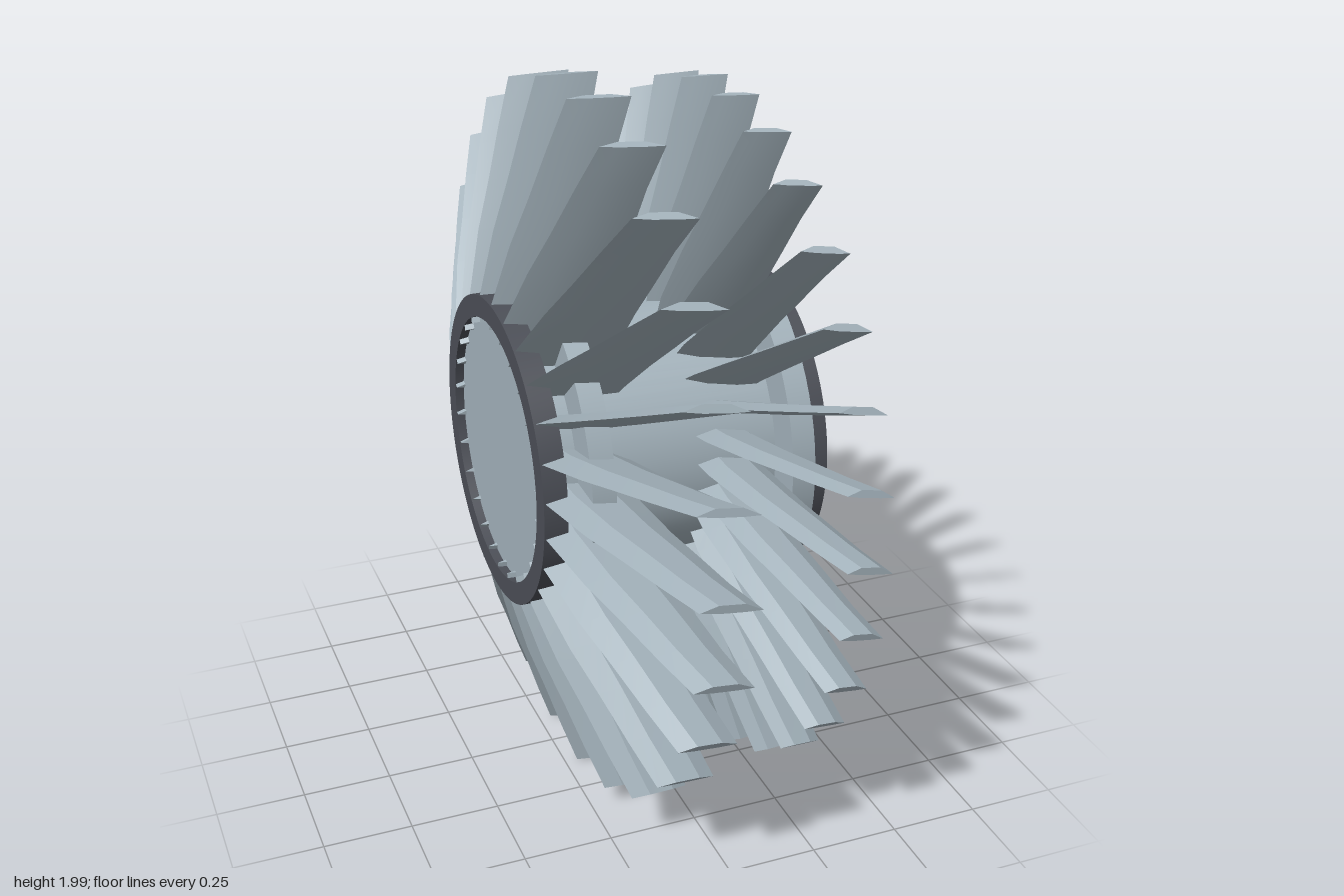
import * as THREE from 'three';
import { toCreasedNormals } from 'three/addons/utils/BufferGeometryUtils.js';

const metal = new THREE.MeshStandardMaterial({ color: 0xa4b3bc });
metal.name = 'blue grey metal';
const dark = new THREE.MeshStandardMaterial({ color: 0x4c4f57 });
dark.name = 'dark steel';

// Blade section stations: radius, leading x, trailing x, leading offset, trailing offset, thickness
const LARGE = [
  [0.35, -0.40, -0.14, 0.046, 0.006, 0.036],
  [0.43, -0.395, -0.135, 0.042, 0.004, 0.034],
  [0.60, -0.35, -0.12, 0.030, -0.003, 0.031],
  [0.73, -0.305, -0.10, 0.021, -0.008, 0.028],
  [0.87, -0.26, -0.08, 0.012, -0.013, 0.025],
  [1.00, -0.215, -0.05, 0.004, -0.018, 0.022],
];

// The rear row is a shorter, narrower version of the front row
const SMALL = LARGE.map(([r, xl, xt, tl, tt, th]) => [
  0.35 + (r - 0.35) * 0.94, 0.35 + xl * 0.75, 0.35 + xt * 0.75, tl, tt, th * 0.9,
]);

// Loft a six-sided lens section along the radius (+z), capped at both ends
function bladeGeometry(stations) {
  const outline = [[0, 0], [0.3, -0.5], [0.72, -0.5], [1, -0.1], [0.72, 0.5], [0.3, 0.5]];
  const n = outline.length;
  const pos = [];
  const index = [];
  for (const [r, xl, xt, tl, tt, th] of stations) {
    for (const [u, v] of outline) {
      const camber = 0.008 * 4 * u * (1 - u);
      pos.push(xl + (xt - xl) * u, tl + (tt - tl) * u + v * th + camber, r);
    }
  }
  for (let s = 0; s < stations.length - 1; s++) {
    for (let i = 0; i < n; i++) {
      const a = s * n + i;
      const b = s * n + (i + 1) % n;
      index.push(a, b, b + n, a, b + n, a + n);
    }
  }
  const top = (stations.length - 1) * n;
  for (let i = 1; i < n - 1; i++) {
    index.push(0, i + 1, i, top, top + i, top + i + 1);
  }
  const g = new THREE.BufferGeometry();
  g.setAttribute('position', new THREE.Float32BufferAttribute(pos, 3));
  g.setIndex(index);
  return toCreasedNormals(g, 0.3);
}

function bladeRow(name, stations, count) {
  const row = new THREE.Group();
  row.name = name;
  const geometry = bladeGeometry(stations);
  for (let i = 0; i < count; i++) {
    const blade = new THREE.Mesh(geometry, metal);
    blade.name = 'blade';
    blade.rotation.x = -i * 2 * Math.PI / count;
    row.add(blade);
  }
  return row;
}

// Solid disc along the x axis
function disc(name, radius, x0, x1) {
  const g = new THREE.CylinderGeometry(radius, radius, x1 - x0, 64);
  g.rotateZ(-Math.PI / 2);
  g.translate((x0 + x1) / 2, 0, 0);
  const mesh = new THREE.Mesh(g, metal);
  mesh.name = name;
  return mesh;
}

// Flat-ended ring along the x axis
function ring(name, outer, inner, x0, x1) {
  const shape = new THREE.Shape().absarc(0, 0, outer, 0, Math.PI * 2, false);
  shape.holes.push(new THREE.Path().absarc(0, 0, inner, 0, Math.PI * 2, true));
  let g = new THREE.ExtrudeGeometry(shape, { depth: x1 - x0, bevelEnabled: false, curveSegments: 64 });
  g.rotateY(Math.PI / 2);
  g.translate(x0, 0, 0);
  g = toCreasedNormals(g, 0.5);
  const mesh = new THREE.Mesh(g, dark);
  mesh.name = name;
  return mesh;
}

export function createModel() {
  const model = new THREE.Group();
  model.name = 'compressorRotor';
  const rotor = new THREE.Group();
  rotor.name = 'rotor';
  rotor.position.y = 1;

  // Drum with a mounting disc for each blade row
  rotor.add(disc('hub', 0.37, -0.375, 0.375));
  rotor.add(disc('frontDisc', 0.48, -0.285, -0.22));
  rotor.add(disc('rearDisc', 0.48, 0.275, 0.34));

  // Dark end rings around the drum faces
  rotor.add(ring('frontRing', 0.43, 0.368, -0.40, -0.335));
  rotor.add(ring('rearRing', 0.43, 0.368, 0.335, 0.40));

  rotor.add(bladeRow('largeBlades', LARGE, 26));
  rotor.add(bladeRow('smallBlades', SMALL, 30));

  model.add(rotor);
  return model;
}
